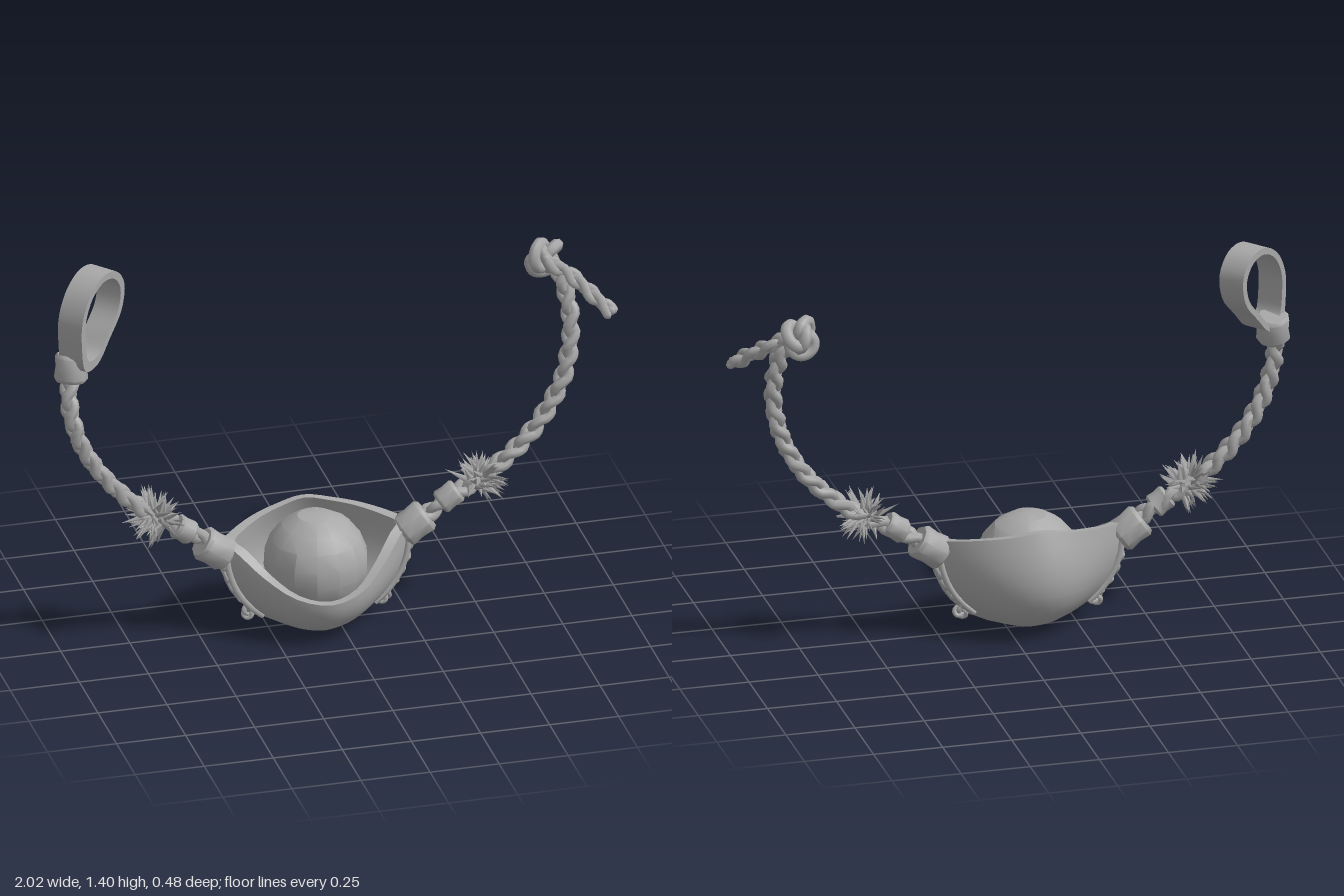
import * as THREE from 'three';
import { mergeGeometries, toCreasedNormals } from 'three/addons/utils/BufferGeometryUtils.js';
import { ParametricGeometry } from 'three/addons/geometries/ParametricGeometry.js';

const V = (x, y, z) => new THREE.Vector3(x, y, z);
const UP = V(0, 1, 0);
const CX = -0.08; // pouch centre line

let seed = 7;
const rand = () => (seed = (seed * 16807) % 2147483647) / 2147483647;

// Half of the pouch rim, front to back, as (x offset, y, z)
const HALF = [[0, 0.18, 0.238], [0.12, 0.2, 0.2], [0.22, 0.26, 0.12], [0.3, 0.335, 0.05],
  [0.34, 0.36, 0.01], [0.3, 0.37, -0.04], [0.2, 0.39, -0.11], [0.1, 0.405, -0.15], [0, 0.42, -0.165]];
const rim = new THREE.CatmullRomCurve3([
  ...HALF.map(([x, y, z]) => V(CX + x, y, z)),
  ...HALF.slice(1, -1).reverse().map(([x, y, z]) => V(CX - x, y, z)),
], true);

// Point on the pouch: u runs round the rim, t from bottom to rim
function pouchPoint(u, t, scale = 1, lift = 0) {
  const r = rim.getPoint(((u % 1) + 1) % 1);
  const a = t * Math.PI / 2;
  const dx = r.x - CX, dz = r.z - 0.02;
  const back = Math.max(0, -dz) / Math.hypot(dx, dz);
  const front = Math.max(0, dz) / Math.hypot(dx, dz);
  const bulge = 0.1 + 0.5 * back * back - 0.12 * front * front;
  const k = Math.sin(a) * (1 + bulge * Math.sin(Math.PI * Math.pow(t, 0.88))) * scale;
  const y0 = 0.006 + lift;
  return V(CX + dx * k, y0 + (r.y - y0) * (1 - Math.cos(a)), 0.02 + dz * k);
}

export function createModel() {
  const model = new THREE.Group();
  model.name = 'sling';
  const grey = new THREE.MeshStandardMaterial({ color: 0xa8a8a8 });
  grey.name = 'grey';

  const add = (name, geometry, parent = model) => {
    const mesh = new THREE.Mesh(geometry, grey);
    mesh.name = name;
    parent.add(mesh);
    return mesh;
  };
  const tube = (pts, r, n = pts.length * 5) =>
    new THREE.TubeGeometry(new THREE.CatmullRomCurve3(pts), n, r, 6);

  // Three-strand braid along a path
  function braid(name, pts, turns, width = 0.018, r = 0.0195) {
    const path = new THREE.CatmullRomCurve3(pts);
    const n = Math.round(turns * 10);
    const { normals, binormals } = path.computeFrenetFrames(n, false);
    const parts = [];
    for (let k = 0; k < 3; k++) {
      const strand = [];
      for (let i = 0; i <= n; i++) {
        const a = (i / n * turns + k / 3) * Math.PI * 2;
        strand.push(path.getPointAt(i / n)
          .addScaledVector(normals[i], width * Math.sin(a))
          .addScaledVector(binormals[i], width * 0.75 * Math.sin(2 * a)));
      }
      parts.push(tube(strand, r, n * 2));
      for (const p of [strand[0], strand[n]]) {
        parts.push(new THREE.SphereGeometry(r, 6, 4).translate(p.x, p.y, p.z));
      }
    }
    add(name, mergeGeometries(parts));
  }

  // Wrapped leather collar with bevelled ends
  function collar(name, centre, dir, r, len, sides = 9) {
    const h = len / 2, b = len * 0.12;
    const profile = [[0, -h], [r * 0.85, -h], [r, -h + b], [r * 0.93, 0], [r, h - b], [r * 0.85, h], [0, h]];
    const g = new THREE.LatheGeometry(profile.map(([x, y]) => new THREE.Vector2(x, y)), sides);
    const mesh = add(name, toCreasedNormals(g, 0.75));
    mesh.position.copy(centre);
    mesh.quaternion.setFromUnitVectors(UP, dir.clone().normalize());
  }

  // Frayed tassel: spikes flaring round the cord
  function fringe(name, centre, dir) {
    const axis = dir.clone().normalize();
    const side = V(0, 0, 1), other = axis.clone().cross(side);
    const parts = [];
    for (let i = 0; i < 96; i++) {
      const a = i * 2.4, flare = rand() * 1.7 - 0.5;
      const d = side.clone().multiplyScalar(Math.cos(a)).addScaledVector(other, Math.sin(a))
        .addScaledVector(axis, flare).normalize();
      const len = 0.075 + rand() * 0.03;
      const g = new THREE.ConeGeometry(0.014, len, 4).translate(0, len / 2, 0);
      g.applyQuaternion(new THREE.Quaternion().setFromUnitVectors(UP, d));
      const p = centre.clone().addScaledVector(d, 0.012).addScaledVector(axis, (rand() - 0.5) * 0.06);
      parts.push(g.translate(p.x, p.y, p.z));
    }
    add(name, mergeGeometries(parts));
  }

  // Pouch: outer wall up to the rim, then the inner wall back down
  const pouch = new ParametricGeometry((u, v, target) => {
    const outer = v <= 0.501;
    const s = Math.min(1, outer ? v * 2 : (1 - v) * 2.2);
    target.copy(outer ? pouchPoint(u, s) : pouchPoint(u, s, 0.86, 0.03));
  }, 48, 22);
  add('pouch', toCreasedNormals(pouch, 0.7));

  // Stone, slightly uneven
  const stone = new THREE.SphereGeometry(0.186, 14, 9);
  const sp = stone.attributes.position;
  for (let i = 0; i < sp.count; i++) {
    const p = V().fromBufferAttribute(sp, i);
    p.multiplyScalar(1 + 0.02 * Math.sin(p.x * 31 + 1) * Math.sin(p.y * 27) * Math.cos(p.z * 29));
    sp.setXYZ(i, p.x, p.y, p.z);
  }
  add('stone', toCreasedNormals(stone, 0.42)).position.set(CX, 0.247, 0.008);

  // Seam ridges, crossed lacing and end knot on both sides
  for (const [label, u0] of [['left', 0.25], ['right', 0.75]]) {
    const group = new THREE.Group();
    group.name = label + 'Lacing';
    model.add(group);
    const spread = (t) => 0.035 + 0.075 * (1 - t);
    for (const s of [-1, 1]) {
      const ridge = [], lace = [];
      for (let i = 0; i <= 6; i++) {
        const t = 0.95 - i * 0.085;
        ridge.push(pouchPoint(u0 + s * spread(t), t, 1.02));
        lace.push(pouchPoint(u0 + s * spread(t) * (i % 2 ? 1 : -1), t, 1.06));
      }
      add('seam', tube(ridge, 0.012), group);
      add('lace', tube(lace, 0.009), group);
    }
    const k = pouchPoint(u0, 0.42, 1.06);
    add('laceKnot', new THREE.TorusKnotGeometry(0.016, 0.009, 36, 5), group).position.copy(k);
  }

  // Right cord with finger loop
  const rightDir = V(-0.8, 0.58, 0);
  braid('rightCord', [V(-0.4, 0.31, 0), V(-0.54, 0.42, -0.01), V(-0.67, 0.495, -0.01), V(-0.8, 0.61, -0.02),
    V(-0.9, 0.75, -0.02), V(-0.95, 0.88, -0.02), V(-0.96, 0.98, -0.04), V(-0.94, 1.08, -0.075)], 4.5);
  collar('rightPouchCollar', V(-0.445, 0.335, 0), rightDir, 0.064, 0.11);
  collar('rightCordCollar', V(-0.555, 0.425, 0), rightDir, 0.046, 0.07);
  fringe('rightFringe', V(-0.65, 0.48, 0), rightDir);
  collar('loopCollar', V(-0.942, 1.07, -0.075), V(0.1, 1, -0.2), 0.061, 0.1);

  // Loop outline, listed clockwise; the hole keeps that order, the outer edge is reversed
  const outline = [[-0.105, 1.08], [-0.13, 1.19], [-0.125, 1.28], [-0.075, 1.365], [0.005, 1.408], [0.085, 1.395],
    [0.135, 1.33], [0.12, 1.235], [0.045, 1.15], [-0.03, 1.08]];
  const ring = (k) => new THREE.CatmullRomCurve3(
    outline.map(([x, y]) => V(x * k, 1.27 + (y - 1.27) * k, 0)), true)
    .getPoints(40).slice(0, -1).map((p) => new THREE.Vector2(p.x, p.y));
  const band = new THREE.Shape(ring(1).reverse());
  band.holes.push(new THREE.Path(ring(0.82)));
  const strap = new THREE.ExtrudeGeometry(band, { depth: 0.1, bevelEnabled: false }).translate(0, 0, -0.05);
  const loop = add('fingerLoop', toCreasedNormals(strap, 0.6));
  loop.position.set(-0.86, 0, -0.115);
  loop.rotation.y = 0.714;

  // Left cord with release knot and tail
  const leftDir = V(0.8, 0.55, 0);
  braid('leftCord', [V(0.24, 0.31, 0), V(0.4, 0.42, 0), V(0.54, 0.495, -0.01), V(0.65, 0.58, -0.01),
    V(0.75, 0.69, -0.02), V(0.82, 0.82, -0.025), V(0.855, 0.96, -0.04), V(0.855, 1.1, -0.07),
    V(0.83, 1.2, -0.11), V(0.78, 1.25, -0.14)], 5.5);
  collar('leftPouchCollar', V(0.28, 0.34, 0), leftDir, 0.064, 0.11);
  collar('leftCordCollar', V(0.405, 0.428, 0), leftDir, 0.046, 0.08);
  fringe('leftFringe', V(0.51, 0.48, 0), leftDir);
  const knot = new THREE.Group();
  knot.name = 'releaseKnot';
  knot.position.set(0.787, 1.245, -0.145);
  knot.rotation.set(0.3, 0.5, 0.3);
  model.add(knot);
  add('knotBody', new THREE.TorusKnotGeometry(0.043, 0.022, 80, 7), knot);
  add('knotWrap', new THREE.TorusGeometry(0.042, 0.022, 7, 20), knot).rotation.y = 1.3;
  braid('tail', [V(0.78, 1.25, -0.11), V(0.86, 1.2, -0.08), V(0.92, 1.15, -0.02), V(0.98, 1.095, 0.04)], 1.2, 0.017, 0.017);

  return model;
}
